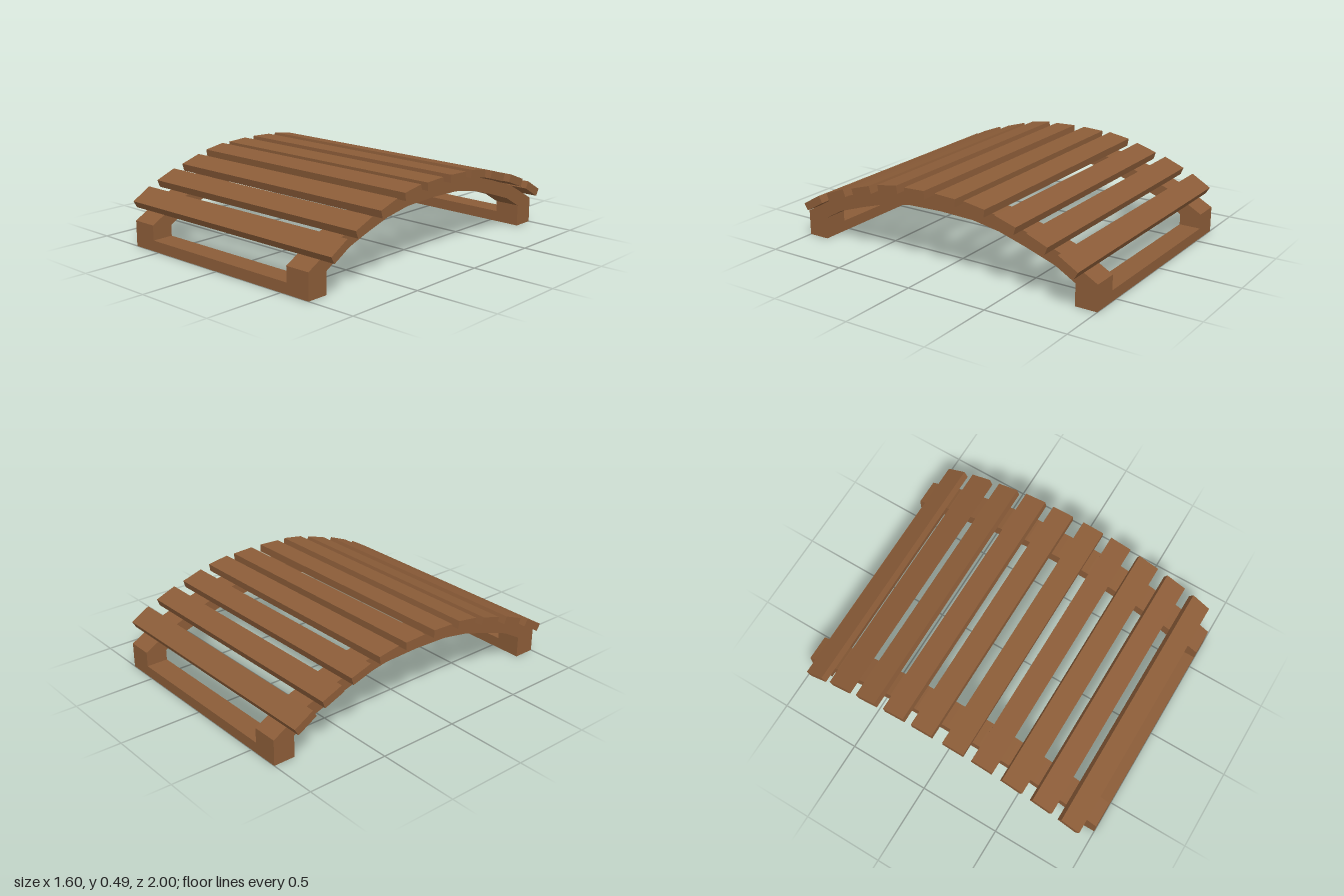
import * as THREE from 'three';

export function createModel() {
  const group = new THREE.Group();
  const wood = new THREE.MeshStandardMaterial({ color: 0x8b5c38 });
  wood.name = 'brown wood';

  const add = (name, geometry, x, y, z, tilt = 0) => {
    const mesh = new THREE.Mesh(geometry, wood);
    mesh.name = name;
    mesh.position.set(x, y, z);
    mesh.rotation.x = tilt;
    group.add(mesh);
  };

  // Arched side beams with upright feet: half profiles as [z, y], mirrored
  const outer = [[1, 0], [1, 0.155], [0.78, 0.275], [0.575, 0.345], [0.39, 0.4], [0.21, 0.43], [0, 0.438]];
  const inner = [[0, 0.35], [0.22, 0.343], [0.39, 0.314], [0.56, 0.263], [0.745, 0.2], [0.867, 0.13], [0.867, 0]];
  const flip = (points) => points.map(([z, y]) => [-z, y]).reverse();
  const outline = [...outer, ...flip(outer).slice(1), ...flip(inner), ...inner.slice(1)];
  outline.splice(outer.length * 2 - 1 + inner.length, 0);
  const shape = new THREE.Shape(outline.map(([z, y]) => new THREE.Vector2(z, y)));
  const beamWidth = 0.157;
  const beam = new THREE.ExtrudeGeometry(shape, { depth: beamWidth, bevelEnabled: false });
  beam.translate(0, 0, -beamWidth / 2);
  beam.rotateY(-Math.PI / 2);
  add('leftArchBeam', beam, 0.6215, 0, 0);
  add('rightArchBeam', beam, -0.6215, 0, 0);

  // Low rails joining the feet
  const rail = new THREE.BoxGeometry(1.086, 0.065, 0.133);
  add('frontRail', rail, 0, 0.0325, 0.9335);
  add('backRail', rail, 0, 0.0325, -0.9335);

  // Slats following the arch: z, y, tilt in degrees
  const slat = new THREE.BoxGeometry(1.6, 0.047, 0.138);
  const places = [[0.104, 0.463, 2.5], [0.294, 0.45, 9], [0.488, 0.402, 17], [0.683, 0.34, 21.5], [0.867, 0.255, 30]];
  places.forEach(([z, y, degrees], i) => {
    const tilt = THREE.MathUtils.degToRad(degrees);
    add(`frontSlat${i + 1}`, slat, 0, y, z, tilt);
    add(`backSlat${i + 1}`, slat, 0, y, -z, -tilt);
  });

  return group;
}
